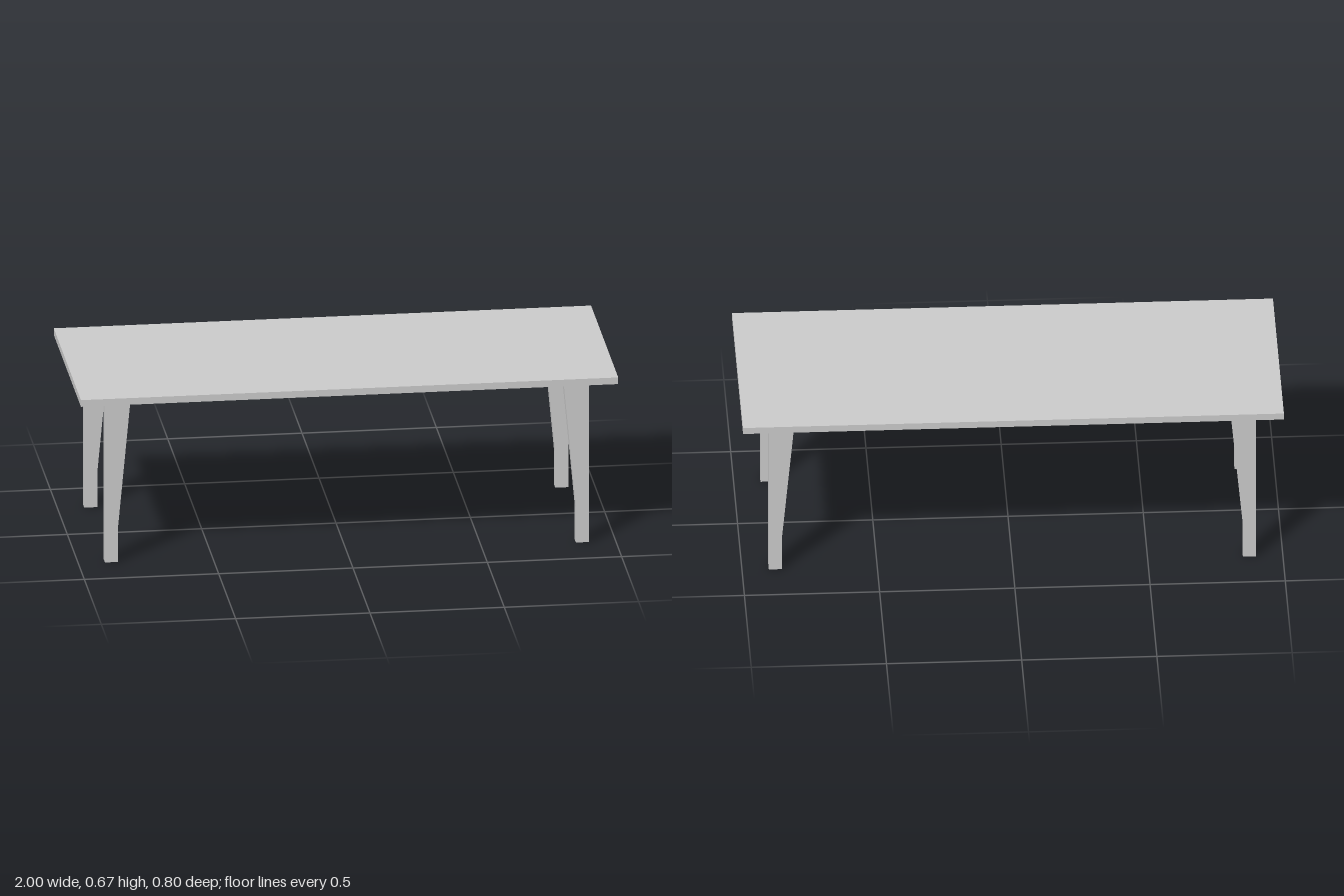
import * as THREE from 'three';

const TOP_Y = 0.667, LEG_H = 0.641, LEG_DEPTH = 0.039, LEG_Z = 0.305;

// Leg profile: straight outer edge, inner edge widening above a short straight foot
function legGeometry() {
  const profile = new THREE.Shape([
    [0.852, 0], [0.901, 0], [0.901, LEG_H], [0.805, LEG_H], [0.852, 0.14],
  ].map(([x, y]) => new THREE.Vector2(x, y)));
  return new THREE.ExtrudeGeometry(profile, { depth: LEG_DEPTH, bevelEnabled: false })
    .translate(0, 0, -LEG_DEPTH / 2);
}

export function createModel() {
  const group = new THREE.Group();
  group.name = 'table';
  const material = new THREE.MeshStandardMaterial({ color: 0xcccccc });

  // Flat rectangular slab
  const thickness = TOP_Y - LEG_H;
  const top = new THREE.Mesh(new THREE.BoxGeometry(2, thickness, 0.8), material);
  top.name = 'tableTop';
  top.position.y = LEG_H + thickness / 2;
  group.add(top);

  // Four legs; the right pair is turned half way round so the taper faces inwards
  const geometry = legGeometry();
  for (const [side, turn] of [['Left', 0], ['Right', Math.PI]]) {
    for (const [end, z] of [['front', LEG_Z], ['back', -LEG_Z]]) {
      const leg = new THREE.Mesh(geometry, material);
      leg.name = `${end}${side}Leg`;
      leg.rotation.y = turn;
      leg.position.z = z;
      group.add(leg);
    }
  }
  return group;
}
